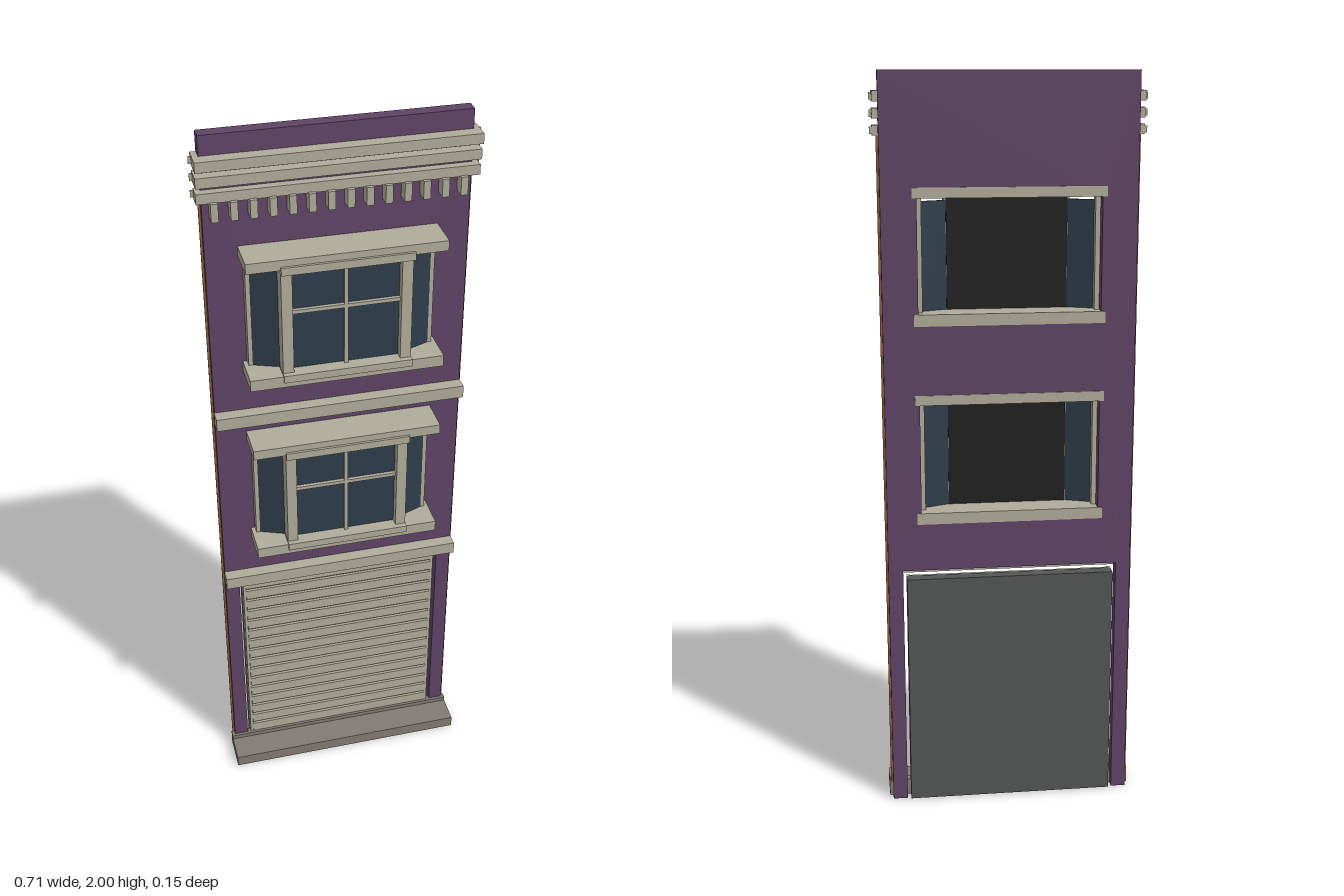
import * as THREE from 'three';

const mat = (name, color) => {
  const m = new THREE.MeshStandardMaterial({ color });
  m.name = name;
  return m;
};

export function createModel() {
  const purple = mat('purple wall', 0x5f4465);
  const stone = mat('pale stone trim', 0xb0ac9a);
  const step = mat('grey step', 0x817c72);
  const glass = mat('blue glass', 0x2e3c49);
  const black = mat('black backing', 0x202020);
  const steel = mat('dark steel', 0x545655);
  const brown = mat('brown edge', 0x8a5a35);

  const model = new THREE.Group();
  model.name = 'townhouseFacade';

  // Box given by its limits on each axis
  const box = (parent, name, m, x0, x1, y0, y1, z0, z1) => {
    const mesh = new THREE.Mesh(new THREE.BoxGeometry(x1 - x0, y1 - y0, z1 - z0), m);
    mesh.position.set((x0 + x1) / 2, (y0 + y1) / 2, (z0 + z1) / 2);
    mesh.name = name;
    parent.add(mesh);
    return mesh;
  };
  const group = (name) => {
    const g = new THREE.Group();
    g.name = name;
    model.add(g);
    return g;
  };

  // Wall with a garage opening and two window openings
  const windowOffsets = [0, 0.54];
  const shape = new THREE.Shape();
  [[-0.333, 0], [-0.293, 0], [-0.293, 0.685], [0.293, 0.685], [0.293, 0], [0.333, 0], [0.333, 2], [-0.333, 2]]
    .forEach(([x, y], i) => (i ? shape.lineTo(x, y) : shape.moveTo(x, y)));
  for (const dy of windowOffsets) {
    const hole = new THREE.Path();
    hole.moveTo(-0.24, 0.835 + dy);
    hole.lineTo(-0.24, 1.155 + dy);
    hole.lineTo(0.24, 1.155 + dy);
    hole.lineTo(0.24, 0.835 + dy);
    hole.closePath();
    shape.holes.push(hole);
  }
  const wall = new THREE.Mesh(new THREE.ExtrudeGeometry(shape, { depth: 0.035, bevelEnabled: false }), purple);
  wall.position.z = -0.067;
  wall.name = 'wall';
  model.add(wall);

  // Thin brown fins on the wall edges
  for (const s of [-1, 1]) {
    box(model, 'edgeFin', brown, s * 0.335 - 0.004, s * 0.335 + 0.004, 0.04, 1.84, -0.048, -0.045);
  }

  // Cornice bars and dentils
  const cornice = group('cornice');
  for (const [y, z0, z1] of [[1.937, -0.063, 0.003], [1.895, -0.055, -0.004], [1.853, -0.05, -0.01]]) {
    box(cornice, 'corniceBar', stone, -0.348, 0.348, y - 0.013, y + 0.013, z0, z1);
    box(cornice, 'corniceLip', stone, -0.355, 0.355, y - 0.009, y + 0.009, -0.048, -0.045);
  }
  for (let i = 0; i < 14; i++) {
    const x = (i - 6.5) * 0.0472;
    box(cornice, 'dentil', stone, x - 0.009, x + 0.009, 1.795, 1.842, -0.034, 0);
  }

  // Floor bands
  for (const y of [0.668, 1.207]) {
    box(model, 'floorBand', stone, -0.334, 0.334, y, y + 0.035, -0.033, 0.003);
  }

  // Bay windows
  for (const dy of windowOffsets) {
    const bay = group('bayWindow');
    bay.position.y = dy;
    box(bay, 'lintel', stone, -0.252, 0.252, 1.145, 1.172, -0.069, 0.066);
    box(bay, 'sill', stone, -0.252, 0.252, 0.816, 0.847, -0.069, 0.066);
    box(bay, 'topRail', stone, -0.167, 0.167, 1.133, 1.154, 0.02, 0.073);
    box(bay, 'bottomRail', stone, -0.167, 0.167, 0.832, 0.852, 0.02, 0.073);
    box(bay, 'frontGlass', glass, -0.142, 0.142, 0.847, 1.14, 0.03, 0.036);
    box(bay, 'backing', black, -0.16, 0.16, 0.847, 1.14, 0.011, 0.016);
    box(bay, 'verticalMuntin', stone, -0.005, 0.005, 0.85, 1.135, 0.036, 0.046);
    box(bay, 'horizontalMuntin', stone, -0.14, 0.14, 1.011, 1.021, 0.036, 0.046);
    for (const s of [-1, 1]) {
      box(bay, 'frontPost', stone, s * 0.152 - 0.014, s * 0.152 + 0.014, 0.845, 1.147, 0.015, 0.058);
      box(bay, 'outerPost', stone, s * 0.234 - 0.007, s * 0.234 + 0.007, 0.845, 1.147, -0.036, -0.009);
      // Splayed side pane
      const pane = box(bay, 'sideGlass', glass, -0.038, 0.038, 0.847, 1.133, -0.003, 0.003);
      pane.position.x = s * 0.197;
      pane.position.z = 0.001;
      pane.rotation.y = s * Math.atan2(0.026, 0.066);
    }
  }

  // Roller door
  const door = group('rollerDoor');
  box(door, 'doorPanel', steel, -0.283, 0.283, 0.003, 0.662, -0.077, -0.043);
  for (const s of [-1, 1]) {
    box(door, 'doorJamb', stone, s * 0.279 - 0.004, s * 0.279 + 0.004, 0.045, 0.662, -0.045, -0.031);
  }
  const pitch = 0.0385;
  for (let i = 0; i < 16; i++) {
    const y = 0.047 + i * pitch;
    box(door, 'slat', stone, -0.275, 0.275, y + 0.004, y + pitch - 0.004, -0.045, -0.028);
    box(door, 'slatJoint', step, -0.275, 0.275, y - 0.004, y + 0.004, -0.045, -0.036);
  }

  // Doorstep
  box(model, 'doorstep', step, -0.342, 0.342, 0, 0.034, -0.045, 0.055);
  box(model, 'threshold', step, -0.342, 0.342, 0.034, 0.047, -0.045, -0.024);

  return model;
}
